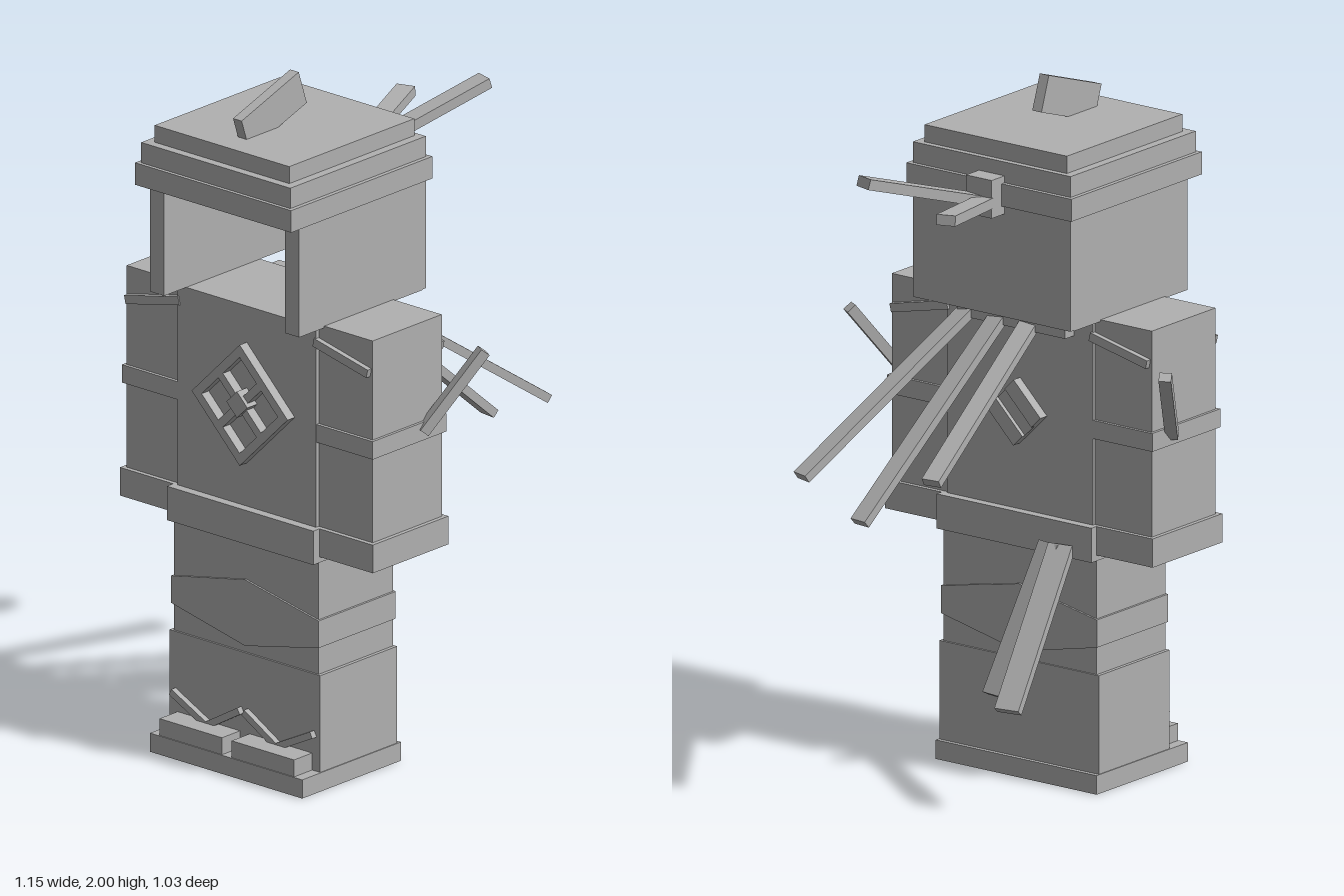
import * as THREE from 'three';

export function createModel() {
  const model = new THREE.Group();
  model.name = 'armouredFigure';
  const clay = new THREE.MeshStandardMaterial({ color: 0xb0b0b0 });
  clay.name = 'plain grey';

  const add = (name, geometry) => {
    const mesh = new THREE.Mesh(geometry, clay);
    mesh.name = name;
    model.add(mesh);
    return mesh;
  };
  // Box given by its limits on each axis
  const block = (name, x0, x1, y0, y1, z0, z1) => {
    const mesh = add(name, new THREE.BoxGeometry(x1 - x0, y1 - y0, z1 - z0));
    mesh.position.set((x0 + x1) / 2, (y0 + y1) / 2, (z0 + z1) / 2);
    return mesh;
  };
  // Same box on both sides
  const pair = (name, x0, x1, ...rest) => {
    block(name + 'Left', x0, x1, ...rest);
    block(name + 'Right', -x1, -x0, ...rest);
  };
  // Flat bar running between two points
  const bar = (name, a, b, width, thickness) => {
    const from = new THREE.Vector3(...a), to = new THREE.Vector3(...b);
    const mesh = add(name, new THREE.BoxGeometry(width, thickness, from.distanceTo(to)));
    mesh.position.copy(from).lerp(to, 0.5);
    mesh.lookAt(to);
    return mesh;
  };

  // Feet
  block('footBase', -0.283, 0.283, 0, 0.055, 0.05, 0.46);
  pair('toe', 0.018, 0.25, 0.05, 0.105, 0.37, 0.457);
  for (const s of [-1, 1]) {
    bar('outerSandalStrap', [s * 0.262, 0.165, 0.385], [s * 0.13, 0.098, 0.385], 0.03, 0.02);
    bar('innerSandalStrap', [s * 0.13, 0.098, 0.385], [s * 0.008, 0.17, 0.385], 0.03, 0.02);
  }

  // Legs with a folded sash around them
  block('lowerLegs', -0.28, 0.28, 0.05, 0.34, 0.063, 0.382);
  block('upperLegs', -0.269, 0.269, 0.33, 0.68, 0.068, 0.376);
  const sash = new THREE.Shape([
    [-0.274, 0.42], [0, 0.36], [0.274, 0.42], [0.274, 0.5], [0, 0.555], [-0.274, 0.5],
  ].map(([x, y]) => new THREE.Vector2(x, y)));
  add('legSash', new THREE.ExtrudeGeometry(sash, { depth: 0.32, bevelEnabled: false }))
    .position.z = 0.062;

  // Torso and belt
  block('belt', -0.272, 0.272, 0.67, 0.77, 0.04, 0.402);
  block('torso', -0.257, 0.257, 0.72, 1.36, 0.067, 0.374);
  block('neckRoll', -0.19, 0.19, 1.305, 1.355, 0.027, 0.075);

  // Arms
  pair('arm', 0.25, 0.457, 0.7, 1.365, 0.075, 0.362);
  pair('armBand', 0.25, 0.466, 1.02, 1.073, 0.066, 0.372);
  pair('cuff', 0.25, 0.47, 0.687, 0.77, 0.062, 0.376);
  for (const s of [-1, 1]) {
    for (const z of [0.07, 0.367]) {
      bar('shoulderTrim', [s * 0.25, 1.315, z], [s * 0.45, 1.27, z], 0.022, 0.025);
    }
    bar('armKnotTail', [s * 0.462, 1.045, 0.16], [s * 0.555, 1.265, 0.01], 0.035, 0.03);
  }

  // Chest crest: diamond frame with four openings and a centre boss
  const square = (Type, x0, x1, y0, y1) => new Type([
    new THREE.Vector2(x0, y0), new THREE.Vector2(x1, y0),
    new THREE.Vector2(x1, y1), new THREE.Vector2(x0, y1),
  ]);
  const crest = square(THREE.Shape, -0.126, 0.126, -0.126, 0.126);
  for (const sx of [-1, 1]) for (const sy of [-1, 1]) {
    crest.holes.push(square(THREE.Path,
      Math.min(sx * 0.012, sx * 0.1), Math.max(sx * 0.012, sx * 0.1),
      Math.min(sy * 0.012, sy * 0.1), Math.max(sy * 0.012, sy * 0.1)));
  }
  const frame = add('chestCrest', new THREE.ExtrudeGeometry(crest, { depth: 0.032, bevelEnabled: false }));
  frame.position.set(0, 1.075, 0.372);
  frame.rotation.z = Math.PI / 4;
  const boss = add('crestBoss', new THREE.BoxGeometry(0.055, 0.055, 0.045));
  boss.position.set(0, 1.08, 0.393);
  boss.rotation.z = Math.PI / 4;

  // Back emblem: three diagonal slats
  const emblem = new THREE.Group();
  emblem.name = 'backEmblem';
  for (const i of [-1, 0, 1]) {
    const slat = add('emblemSlat', new THREE.BoxGeometry(0.134, 0.045, i ? 0.03 : 0.018));
    slat.position.set(0, i * 0.045, i ? 0 : 0.006);
    emblem.add(slat);
  }
  emblem.position.set(0, 1.055, 0.052);
  emblem.rotation.z = Math.PI / 4;
  model.add(emblem);

  // Streamers behind the shoulders
  bar('shoulderStreamer', [0.165, 1.32, 0.04], [0.325, 0.935, -0.5], 0.055, 0.025);
  bar('shoulderStreamer', [0.055, 1.32, 0.04], [0.12, 0.84, -0.5], 0.055, 0.025);
  bar('shoulderStreamer', [-0.055, 1.32, 0.04], [-0.12, 0.995, -0.485], 0.055, 0.025);
  // Belt tails
  bar('beltTail', [-0.168, 0.7, 0.04], [-0.225, 0.305, -0.275], 0.075, 0.025);
  bar('beltTail', [-0.13, 0.7, 0.04], [-0.1, 0.305, -0.175], 0.075, 0.025);

  // Open-faced hood
  pair('hoodSide', 0.225, 0.277, 1.36, 1.75, -0.045, 0.466);
  block('hoodBack', -0.277, 0.277, 1.362, 1.75, -0.06, -0.04);
  block('headBand', -0.29, 0.29, 1.685, 1.75, -0.073, 0.514);
  block('hoodRim', -0.277, 0.277, 1.74, 1.81, -0.06, 0.503);
  block('hoodTop', -0.25, 0.25, 1.8, 1.86, -0.042, 0.477);
  const fin = add('topFin', new THREE.BoxGeometry(0.032, 0.105, 0.25));
  fin.position.set(0, 1.91, 0.278);
  fin.rotation.x = 0.325;

  // Head band knot and tails
  block('bandKnot', -0.045, 0.045, 1.66, 1.77, -0.118, -0.06);
  bar('bandTail', [0.012, 1.7, -0.1], [0.118, 1.82, -0.485], 0.055, 0.03);
  bar('bandTail', [-0.012, 1.7, -0.1], [-0.132, 1.745, -0.435], 0.055, 0.03);

  return model;
}
